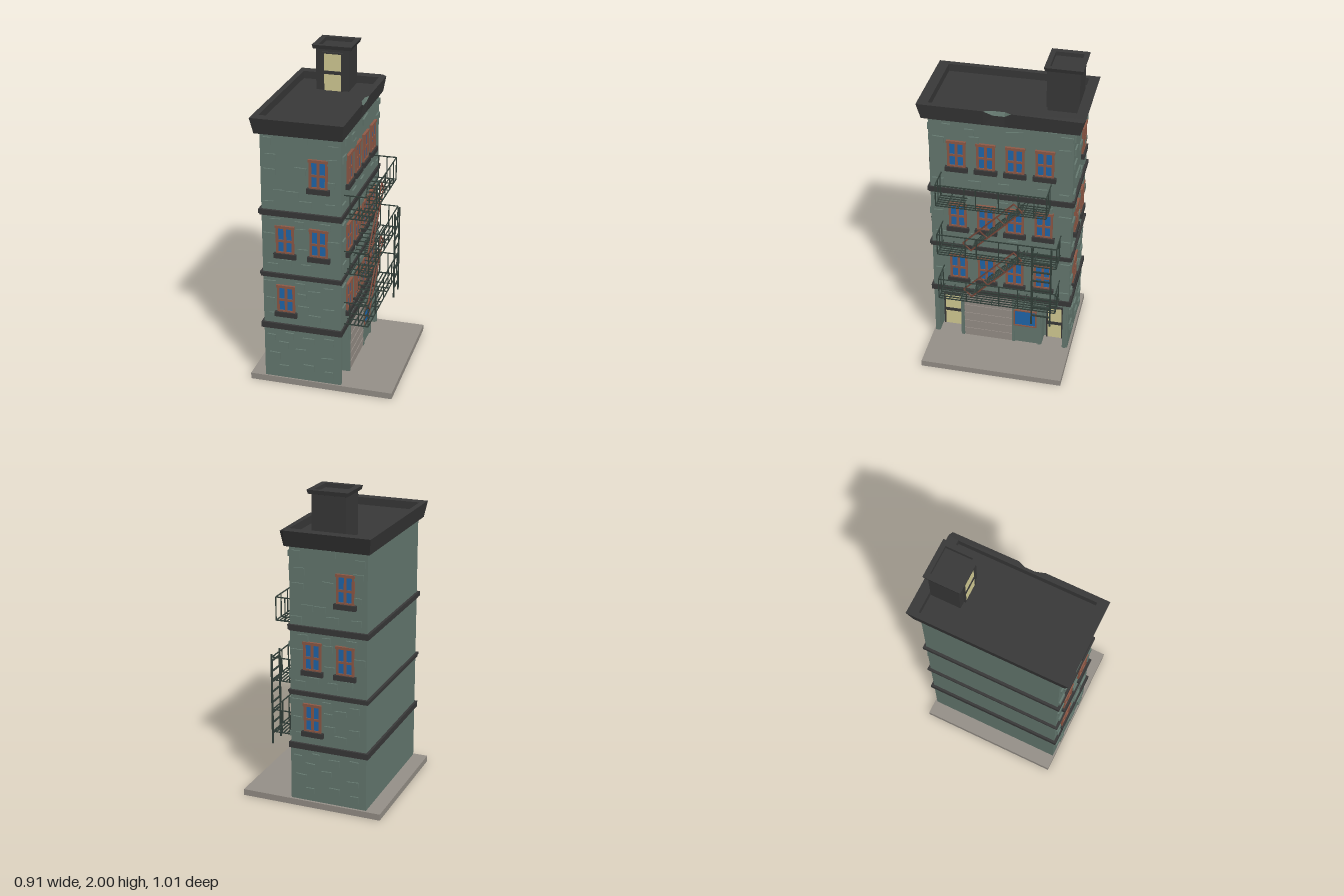
import * as THREE from 'three';

const mat = (name, color) => {
  const m = new THREE.MeshStandardMaterial({ color });
  m.name = name;
  return m;
};
const M = {
  wall: mat('wall green', 0x667a71),
  dark: mat('dark trim', 0x393939),
  stone: mat('pavement', 0x979189),
  shutter: mat('shutter', 0x989089),
  glass: mat('glass', 0x2068ae),
  frame: mat('window frame', 0x905a47),
  door: mat('door', 0xd6ce96),
  iron: mat('iron', 0x33403a),
  rust: mat('rust rail', 0x7a4a3c),
};

// Wall extents
const X0 = -0.36, X1 = 0.13, Z = 0.44, CX = (X0 + X1) / 2;

function group(name, parent) {
  const g = new THREE.Group();
  g.name = name;
  parent.add(g);
  return g;
}
// Box given by its min and max corners
function block(parent, name, m, x0, x1, y0, y1, z0, z1) {
  const mesh = new THREE.Mesh(new THREE.BoxGeometry(x1 - x0, y1 - y0, z1 - z0), m);
  mesh.position.set((x0 + x1) / 2, (y0 + y1) / 2, (z0 + z1) / 2);
  mesh.name = name;
  parent.add(mesh);
  return mesh;
}
// Square bar between two points
function bar(parent, name, m, a, b, t = 0.006) {
  const p = new THREE.Vector3(...a), q = new THREE.Vector3(...b);
  const mesh = new THREE.Mesh(new THREE.BoxGeometry(t, t, p.distanceTo(q)), m);
  mesh.position.copy(p).lerp(q, 0.5);
  mesh.lookAt(q);
  mesh.name = name;
  parent.add(mesh);
}

// Rectangular ring with extra points on the +x edge for the broken stretch
function ring(x0, x1, z0, z1, y, chipX = 0, chipY = 0, cut = 0) {
  const mid = [0.1, 0.04, -0.03, -0.07].map((z, i) => {
    const k = i === 1 || i === 2 ? 1 : 0;
    return [x1 - chipX * k, y - chipY * k, z];
  });
  return [[x1, y, z1], ...mid, [x1, y - cut / 2, z0 + cut], [x1 - cut * 2.2, y, z0], [x0, y, z0], [x0, y, z1]];
}
const plainRing = (x0, x1, z0, z1, y) => [[x1, y, z1], [x1, y, z0], [x0, y, z0], [x0, y, z1]];

// Skin consecutive rings with flat quads; isChip picks the second material
function loft(parent, name, rings, isChip = () => false) {
  const pos = [], geo = new THREE.BufferGeometry();
  for (let i = 0; i < rings.length - 1; i++) {
    const n = rings[i].length;
    for (let j = 0; j < n; j++) {
      const k = (j + 1) % n;
      const [a, b, c, d] = [rings[i][j], rings[i][k], rings[i + 1][k], rings[i + 1][j]];
      geo.addGroup(pos.length / 3, 6, isChip(i, j) ? 1 : 0);
      pos.push(...a, ...b, ...c, ...a, ...c, ...d);
    }
  }
  geo.setAttribute('position', new THREE.Float32BufferAttribute(pos, 3));
  geo.computeVertexNormals();
  const mesh = new THREE.Mesh(geo, [M.dark, M.wall]);
  mesh.name = name;
  parent.add(mesh);
}

// Sash window on a wall facing local +z; y is the underside of its sill
function sash(wall, u, y) {
  const g = group('window', wall);
  g.position.set(u, y, 0);
  block(g, 'glass', M.glass, -0.05, 0.05, 0.03, 0.2, -0.004, 0.004);
  for (const s of [-1, 1]) block(g, 'jamb', M.frame, s * 0.049 - 0.007, s * 0.049 + 0.007, 0.03, 0.2, 0, 0.012);
  block(g, 'mullion', M.frame, -0.008, 0.008, 0.03, 0.2, 0, 0.01);
  block(g, 'crossbar', M.frame, -0.05, 0.05, 0.105, 0.119, 0, 0.01);
  block(g, 'bottomRail', M.frame, -0.05, 0.05, 0.03, 0.042, 0, 0.011);
  block(g, 'lintel', M.frame, -0.06, 0.06, 0.195, 0.212, 0, 0.016);
  block(g, 'sill', M.dark, -0.07, 0.07, 0, 0.032, 0, 0.022);
}

// Glazed door facing local +z, standing on y = 0
function door(parent, w, h) {
  block(parent, 'doorPanel', M.door, -w / 2, w / 2, 0, h, 0, 0.008);
  for (const s of [-1, 1]) block(parent, 'doorJamb', M.dark, s * w / 2 - 0.004, s * w / 2 + 0.006, 0, h, 0, 0.012);
  block(parent, 'doorHead', M.dark, -w / 2 - 0.006, w / 2 + 0.006, h, h + 0.01, 0, 0.012);
  block(parent, 'doorBar', M.dark, -w / 2, w / 2, h * 0.45, h * 0.54, 0, 0.012);
}

// Raised bricks at (u, y) pairs, in hundredths
function bricks(wall, list) {
  let seed = 7;
  const rnd = () => (seed = (seed * 16807) % 2147483647) / 2147483647;
  for (let i = 0; i < list.length; i += 2) {
    const w = 0.026 + rnd() * 0.014, h = 0.016 + rnd() * 0.008;
    const u = list[i] / 100, y = list[i + 1] / 100;
    block(wall, 'brick', M.wall, u - w, u + w, y - h, y + h, -0.004, 0.01).rotation.z = (rnd() - 0.5) * 0.12;
  }
}

const endBricks = [
  -20, 161, 2, 163, 20, 159, -18, 151, -19, 142, 0, 144, -13, 129, -5, 129, 3, 123, -20, 121, 18, 123, 18, 137, 19, 151,
  -16, 110, -1, 110, 15, 110, -20, 101, 0, 105, -18, 81, -9, 84, 3, 82, 13, 84, 20, 99, 1, 92,
  -20, 69, -1, 69, 17, 68, 8, 65, 0, 62, -20, 57, 1, 54, 17, 54, -17, 47, 8, 48,
  -20, 32, -8, 34, 4, 32, 17, 33, -12, 27, -1, 24, -18, 19, 16, 20, 4, 13, -12, 11, 17, 10];
const sideBricks = [
  -33, 161, -19, 159, -16, 154, 31, 163, 40, 161, -38, 152, 39, 152, -39, 123, -16, 123, 2, 123, 26, 123, 39, 121,
  -39, 110, -22, 110, 2, 110, 29, 110, 40, 105, -39, 99, -38, 84, -16, 84, 8, 82, 41, 86,
  -39, 69, -19, 69, 2, 70, 41, 69, -39, 55, 40, 47, -16, 47, 14, 34];

export function createModel() {
  const model = new THREE.Group();
  model.name = 'apartmentBuilding';

  // Pavement slab, hollow underneath
  const slab = group('pavement', model);
  block(slab, 'pavementTop', M.stone, -0.455, 0.455, 0.03, 0.04, -0.455, 0.45);
  for (const [x0, x1, z0, z1] of [[-0.455, -0.45, -0.455, 0.45], [0.45, 0.455, -0.455, 0.45],
    [-0.45, 0.45, -0.455, -0.45], [-0.45, 0.45, 0.445, 0.45]])
    block(slab, 'pavementEdge', M.stone, x0, x1, 0, 0.03, z0, z1);

  // Upper storeys, and ground floor with two door recesses
  block(model, 'upperWalls', M.wall, X0, X1, 0.39, 1.7, -Z, Z);
  const XR = 0.035;
  block(model, 'groundWalls', M.wall, X0, XR, 0.04, 0.39, -Z, Z);
  for (const [z0, z1] of [[0.41, Z], [-0.27, 0.265], [-Z, -0.405]])
    block(model, 'groundPier', M.wall, XR, X1, 0.04, 0.39, z0, z1);
  for (const z of [0.252, -0.085, -0.255, -0.42])
    block(model, 'pilaster', M.wall, X1 - 0.01, X1 + 0.008, 0.04, 0.385, z - 0.009, z + 0.009);

  // Trim bands around the storeys
  for (const [y0, y1, o] of [[0.385, 0.422, 0.015], [0.735, 0.75, 0.01], [0.75, 0.765, 0.016], [1.14, 1.155, 0.01], [1.15, 1.178, 0.016]])
    block(model, 'trimBand', M.dark, X0 - o, X1 + o * 0.6, y0, y1, -Z - o, Z + o);

  // Decorated walls: front, back and street side
  const front = group('frontWall', model), back = group('backWall', model), side = group('streetWall', model);
  front.position.set(CX, 0, Z);
  back.position.set(CX, 0, -Z);
  back.rotation.y = Math.PI;
  side.position.set(X1, 0, 0);
  side.rotation.y = Math.PI / 2;
  for (const w of [front, back]) {
    for (const [u, y] of [[0.11, 1.31], [-0.1, 0.87], [0.11, 0.87], [-0.1, 0.475]]) sash(w, u, y);
    bricks(w, endBricks);
  }
  for (const y of [0.475, 0.87, 1.31]) for (const u of [-0.27, -0.09, 0.09, 0.27]) sash(side, u, y);
  bricks(side, sideBricks);
  block(side, 'looseBrick', M.wall, 0.035, 0.14, 1.585, 1.625, -0.004, 0.01).rotation.z = 0.1;

  // Roller shutter
  block(side, 'shutter', M.shutter, -0.24, 0.075, 0.04, 0.385, -0.01, 0.004);
  for (let i = 0; i < 5; i++)
    block(side, 'shutterSlat', M.shutter, -0.24, 0.075, 0.07 + i * 0.063, 0.1 + i * 0.063, 0, 0.008);

  // Shop window
  block(side, 'shopGlass', M.glass, 0.09, 0.232, 0.18, 0.3, 0, 0.005);
  for (const u of [0.09, 0.232]) block(side, 'shopJamb', M.frame, u - 0.004, u + 0.004, 0.176, 0.304, 0, 0.011);
  for (const y of [0.18, 0.3]) block(side, 'shopRail', M.frame, 0.09, 0.232, y - 0.004, y + 0.004, 0, 0.011);

  // Street doors at the back of the recesses
  for (const [z, w] of [[0.338, 0.118], [-0.338, 0.1]]) {
    const d = group('streetDoor', model);
    d.position.set(XR, 0.04, z);
    d.rotation.y = Math.PI / 2;
    door(d, w, 0.24);
  }

  // Flared cornice with a broken edge, and roof deck
  loft(model, 'cornice', [
    ring(X0, X1, -Z, Z, 1.66),
    ring(-0.383, 0.147, -0.475, 0.478, 1.66),
    ring(-0.4, 0.162, -0.505, 0.502, 1.76, 0.008, 0.026, 0.012),
    ring(-0.4, 0.162, -0.505, 0.502, 1.76, 0.018, 0, 0.012),
    ring(-0.365, 0.126, -0.44, 0.436, 1.76),
    ring(-0.365, 0.126, -0.44, 0.436, 1.7),
  ], (i, j) => i === 2 && j >= 1 && j <= 3);
  block(model, 'roofDeck', M.dark, -0.37, 0.13, 1.69, 1.712, -0.445, 0.44);

  // Stair hut on the roof
  const hut = group('roofHut', model);
  block(hut, 'hutWalls', M.dark, -0.225, -0.015, 1.7, 1.975, -0.44, -0.25);
  loft(hut, 'hutCap', [
    plainRing(-0.225, -0.015, -0.44, -0.25, 1.972),
    plainRing(-0.24, 0, -0.455, -0.235, 1.976),
    plainRing(-0.246, 0.007, -0.46, -0.229, 2),
    plainRing(-0.21, -0.027, -0.43, -0.26, 2),
    plainRing(-0.21, -0.027, -0.43, -0.26, 1.97),
  ]);
  const hutDoor = group('hutDoor', hut);
  hutDoor.position.set(-0.117, 1.712, -0.25);
  door(hutDoor, 0.12, 0.235);

  // Fire escape balconies
  const escape = group('fireEscape', model);
  const XO = 0.28, zf = 0.368;
  for (const [y, zb] of [[0.435, -0.378], [0.778, -0.378], [1.14, -0.31]]) {
    const b = group('balcony', escape), top = y + 0.147;
    for (const x of [0.165, 0.19, 0.213, 0.235, 0.258, XO]) {
      // The flights pass through openings in the upper floors
      if (y > 0.5 && x < 0.235) {
        bar(b, 'floorBar', M.iron, [x, y, zf], [x, y, 0.2]);
        bar(b, 'floorBar', M.iron, [x, y, -0.12], [x, y, zb]);
      } else bar(b, 'floorBar', M.iron, [x, y, zf], [x, y, zb]);
    }
    for (const z of [zf, 0.3, 0.23, -0.12, -0.17, -0.235, zb]) bar(b, 'floorBeam', M.iron, [X1, y, z], [XO, y, z]);
    for (const z of [0.1, 0.03]) bar(b, 'shortBeam', M.iron, [0.235, y, z], [XO, y, z]);
    bar(b, 'handrail', M.iron, [XO, top, zf], [XO, top, zb]);
    for (const z of [zf, 0.19, 0.12, -0.02, -0.14, -0.235, zb]) bar(b, 'post', M.iron, [XO, y, z], [XO, top, z]);
    for (const z of [zf, zb]) {
      bar(b, 'endRail', M.iron, [X1, top, z], [XO, top, z]);
      for (const x of [0.165, 0.22]) bar(b, 'endPost', M.iron, [x, y, z], [x, top, z]);
    }
  }

  // Stair flights between balconies
  for (const y of [0.445, 0.805]) {
    const s = group('stairFlight', escape), N = 17;
    for (let i = 0; i < N; i++) {
      const t = (i + 0.5) / N, z = 0.165 - 0.32 * t, h = y + 0.335 * t;
      block(s, 'tread', M.iron, 0.137, 0.235, h - 0.002, h + 0.002, z - 0.005, z + 0.005);
    }
    bar(s, 'innerStringer', M.iron, [0.137, y, 0.165], [0.137, y + 0.335, -0.155]);
    bar(s, 'stringer', M.rust, [0.238, y, 0.165], [0.238, y + 0.335, -0.155], 0.008);
    bar(s, 'stairRail', M.rust, [0.238, y + 0.05, 0.215], [0.238, y + 0.385, -0.105], 0.008);
    for (const t of [0, 0.33, 0.67, 1])
      bar(s, 'baluster', M.rust, [0.238, y + 0.335 * t, 0.165 - 0.32 * t], [0.238, y + 0.05 + 0.335 * t, 0.215 - 0.32 * t]);
  }

  // Drop ladder
  const ladder = group('ladder', escape);
  for (const z of [-0.232, -0.35]) bar(ladder, 'ladderRail', M.iron, [0.297, 0.34, z], [0.297, 0.93, z], 0.01);
  for (let i = 0; i < 8; i++) {
    const y = 0.41 + i * 0.068;
    bar(ladder, 'rung', M.iron, [0.297, y, -0.232], [0.297, y, -0.35], 0.009);
  }
  return model;
}
